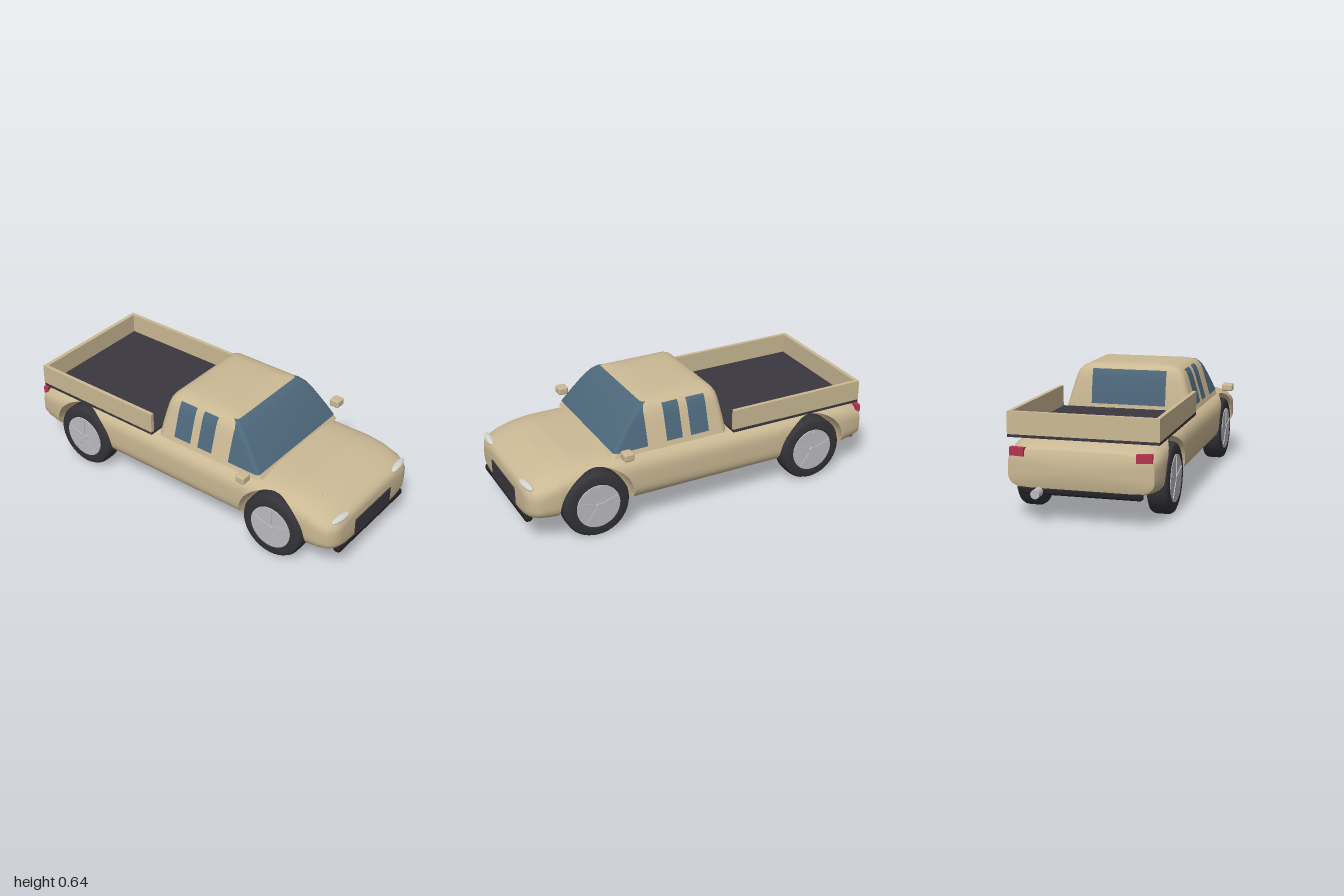
import * as THREE from 'three';
import { toCreasedNormals } from 'three/addons/utils/BufferGeometryUtils.js';
import { RoundedBoxGeometry } from 'three/addons/geometries/RoundedBoxGeometry.js';

const material = (name, color) => {
  const m = new THREE.MeshStandardMaterial({ color });
  m.name = name;
  return m;
};

// Piecewise-linear lookup in rows keyed by their first column
function lookup(rows, k) {
  let i = 1;
  while (i < rows.length - 1 && rows[i][0] < k) i++;
  const a = rows[i - 1], b = rows[i];
  const t = THREE.MathUtils.clamp((k - a[0]) / (b[0] - a[0]), 0, 1);
  return a.map((v, j) => v + (b[j] - v) * t);
}

// Skin a list of equal-length rings; solid shapes are closed and capped
function loft(rings, solid) {
  if (solid) {
    const flat = (ring) => {
      const c = [0, 1, 2].map((k) => ring.reduce((s, p) => s + p[k], 0) / ring.length);
      return ring.map(() => c);
    };
    rings = [flat(rings[0]), ...rings, flat(rings[rings.length - 1])];
  }
  const n = rings[0].length, index = [];
  for (let i = 0; i < rings.length - 1; i++) {
    for (let j = 0; j < (solid ? n : n - 1); j++) {
      const k = (j + 1) % n, a = i * n, b = a + n;
      index.push(a + j, b + j, a + k, b + j, b + k, a + k);
    }
  }
  const g = new THREE.BufferGeometry();
  g.setAttribute('position', new THREE.Float32BufferAttribute(rings.flat(2), 3));
  g.setIndex(index);
  // Enlarged while creasing, so close vertices stay separate
  g.scale(100, 100, 100);
  return toCreasedNormals(g, 0.7).scale(0.01, 0.01, 0.01);
}

// Lower body: x, bottom, top, half width
const BODY = [
  [-0.94, 0.165, 0.355, 0.34], [-0.935, 0.155, 0.362, 0.355], [-0.9, 0.145, 0.375, 0.365],
  [-0.82, 0.13, 0.398, 0.375], [-0.7, 0.125, 0.414, 0.38], [0.73, 0.125, 0.414, 0.38],
  [0.83, 0.13, 0.397, 0.38], [0.9, 0.14, 0.372, 0.375], [0.95, 0.148, 0.352, 0.36],
  [0.975, 0.155, 0.34, 0.335], [0.988, 0.165, 0.322, 0.305], [0.991, 0.18, 0.3, 0.28],
];
const AXLES = [-0.615, 0.638], AXLE_Y = 0.18, ARCH = 0.201;

// Squarish cross-section, cut off below the given height
function bodySection(x, low) {
  const [, bottom, top, w] = lookup(BODY, x);
  const c = (bottom + top) / 2, h = (top - bottom) / 2, lo = Math.max(bottom, low), N = 20;
  const side = [];
  for (let j = 0; j <= N; j++) {
    const y = lo + (top - lo) * (1 - Math.cos((Math.PI * j) / N)) / 2;
    const t = Math.min(1, Math.abs((y - c) / h));
    side.push([x, y, w * Math.pow(1 - t ** 4, 0.25)]);
  }
  return [...side, ...side.slice().reverse().map(([px, y, z]) => [px, y, -z])];
}

function bodyGeometry() {
  const rings = BODY.filter((r) => r[0] < AXLES[0] - ARCH).map((r) => bodySection(r[0], 0));
  for (const c of AXLES) {
    rings.push(bodySection(c - ARCH, 0));
    for (let i = 0; i <= 24; i++) {
      const a = (Math.PI * i) / 24;
      rings.push(bodySection(c - ARCH * Math.cos(a), AXLE_Y + ARCH * Math.sin(a)));
    }
    rings.push(bodySection(c + ARCH, 0));
  }
  rings.push(...BODY.filter((r) => r[0] > AXLES[1] + ARCH).map((r) => bodySection(r[0], 0)));
  return loft(rings, true);
}

// Cab: y, rear x, front x, half width
const CAB = [
  [0.4, -0.11, 0.545, 0.347], [0.43, -0.108, 0.525, 0.337], [0.48, -0.102, 0.487, 0.323],
  [0.53, -0.095, 0.447, 0.308], [0.57, -0.088, 0.412, 0.296], [0.6, -0.08, 0.382, 0.283],
  [0.62, -0.068, 0.355, 0.265], [0.633, -0.05, 0.32, 0.235], [0.64, -0.02, 0.27, 0.19],
  [0.642, 0.03, 0.2, 0.1],
];
const arc = (cx, cz, r, from, y) => Array.from({ length: 7 }, (_, i) => {
  const a = from + (i / 6) * (Math.PI / 2);
  return [cx + r * Math.cos(a), y, cz + r * Math.sin(a)];
});

function cabSection([y, rear, front, w]) {
  const f = 0.02, r = 0.04, q = Math.PI / 2;
  return [
    ...arc(front - f, w - f, f, 0, y), ...arc(rear + r, w - r, r, q, y),
    ...arc(rear + r, r - w, r, 2 * q, y), ...arc(front - f, f - w, f, 3 * q, y),
  ];
}

// Thin pane following the cab surface between two heights
function pane(y0, y1, path) {
  const ys = [y0, ...CAB.map((r) => r[0]).filter((y) => y > y0 && y < y1), y1];
  return loft(ys.map((y) => path(...lookup(CAB, y))), false);
}

export function createModel() {
  const model = new THREE.Group();
  model.name = 'pickupTruck';
  const paint = material('sandPaint', 0xcbb994);
  const glass = material('blueGlass', 0x4d687b);
  const rubber = material('tyreRubber', 0x343438);
  const liner = material('darkLiner', 0x3a383e);
  const trim = material('blackTrim', 0x232327);
  const metal = material('paleMetal', 0xbdbdc2);
  const lamp = material('lampWhite', 0xd6d5cc);
  const red = material('tailRed', 0xb5344e);

  const add = (name, geometry, mat, x = 0, y = 0, z = 0, parent = model) => {
    const mesh = new THREE.Mesh(geometry, mat);
    mesh.name = name;
    mesh.position.set(x, y, z);
    parent.add(mesh);
    return mesh;
  };
  const box = (w, h, d) => new THREE.BoxGeometry(w, h, d);

  add('body', bodyGeometry(), paint);
  add('cab', loft(CAB.map(cabSection), true), paint);

  // Glass
  const e = 0.004, f = 0.02;
  add('windscreen', pane(0.425, 0.628, (y, rear, front, w) => {
    const x = Math.min(0.345, front - f);
    return [
      [x, y, -w - e], ...arc(front + e - f, f - w - e, f, -Math.PI / 2, y),
      ...arc(front + e - f, w + e - f, f, 0, y), [x, y, w + e],
    ];
  }), glass);
  add('rearWindow', pane(0.43, 0.612, (y, rear) => [[rear - e, y, 0.2], [rear - e, y, -0.2]]), glass);
  for (const [x0, x1] of [[0, 0.103], [0.15, 0.238]]) {
    add('leftSideWindow', pane(0.428, 0.613, (y, r, fr, w) => [[x1, y, w + e], [x0, y, w + e]]), glass);
    add('rightSideWindow', pane(0.428, 0.613, (y, r, fr, w) => [[x0, y, -w - e], [x1, y, -w - e]]), glass);
  }

  // Cargo bed, open towards the cab
  add('bedFloor', box(0.77, 0.016, 0.74), liner, -0.515, 0.406, 0);
  add('bedTailgate', box(0.022, 0.11, 0.74), paint, -0.891, 0.467, 0);

  // Nose and tail
  add('grille', box(0.03, 0.097, 0.324), liner, 0.981, 0.219, 0);
  add('frontBumper', new RoundedBoxGeometry(0.04, 0.036, 0.6, 3, 0.014), trim, 0.974, 0.158, 0);
  add('rearBumper', new RoundedBoxGeometry(0.035, 0.036, 0.6, 3, 0.014), trim, -0.927, 0.158, 0);
  const pipe = new THREE.CylinderGeometry(0.022, 0.022, 0.1, 20).rotateZ(Math.PI / 2);
  add('exhaustPipe', pipe, metal, -0.95, 0.155, -0.2);

  // Parts mirrored on both sides
  for (const s of [1, -1]) {
    add('bedSide', box(0.77, 0.11, 0.02), paint, -0.515, 0.467, s * 0.36);
    add('mirror', new RoundedBoxGeometry(0.055, 0.042, 0.06, 3, 0.01), paint, 0.493, 0.446, s * 0.417);
    const light = add('headlight', new THREE.SphereGeometry(1, 24, 14), lamp, 0.967, 0.333, s * 0.265);
    light.scale.set(0.021, 0.017, 0.067);
    light.rotation.y = s * -0.12;
    const tail = add('tailLight', box(0.028, 0.04, 0.075), red, -0.931, 0.34, s * 0.307);
    tail.rotation.y = s * 0.15;
  }

  // Wheels
  const tyreProfile = [
    [0, -0.054], [0.15, -0.054], [0.166, -0.048], [0.174, -0.034], [0.175, -0.02], [0.175, 0.02],
    [0.174, 0.034], [0.166, 0.048], [0.15, 0.054], [0.12, 0.054], [0.115, 0.048], [0, 0.048],
  ].map(([r, y]) => new THREE.Vector2(r, y));
  const tyre = toCreasedNormals(
    new THREE.LatheGeometry(tyreProfile, 40).scale(100, 100, 100), 0.6,
  ).scale(0.01, 0.01, 0.01).rotateX(Math.PI / 2);
  const disc = new THREE.CylinderGeometry(0.116, 0.116, 0.02, 40).rotateX(Math.PI / 2);
  const hub = new THREE.CylinderGeometry(0.018, 0.022, 0.016, 20).rotateX(Math.PI / 2);
  const spoke = box(0.016, 0.1, 0.008).translate(0, 0.058, 0);
  for (const x of AXLES) {
    for (const s of [1, -1]) {
      const wheel = new THREE.Group();
      wheel.name = (x > 0 ? 'front' : 'rear') + 'Wheel';
      wheel.position.set(x, AXLE_Y, s * 0.325);
      if (s < 0) wheel.rotation.y = Math.PI;
      add('tyre', tyre, rubber, 0, 0, 0, wheel);
      add('rim', disc, metal, 0, 0, 0.046, wheel);
      add('hub', hub, metal, 0, 0, 0.055, wheel);
      for (let i = 0; i < 5; i++) {
        add('spoke', spoke, metal, 0, 0, 0.056, wheel).rotation.z = (i * Math.PI * 2) / 5;
      }
      model.add(wheel);
    }
  }
  return model;
}
